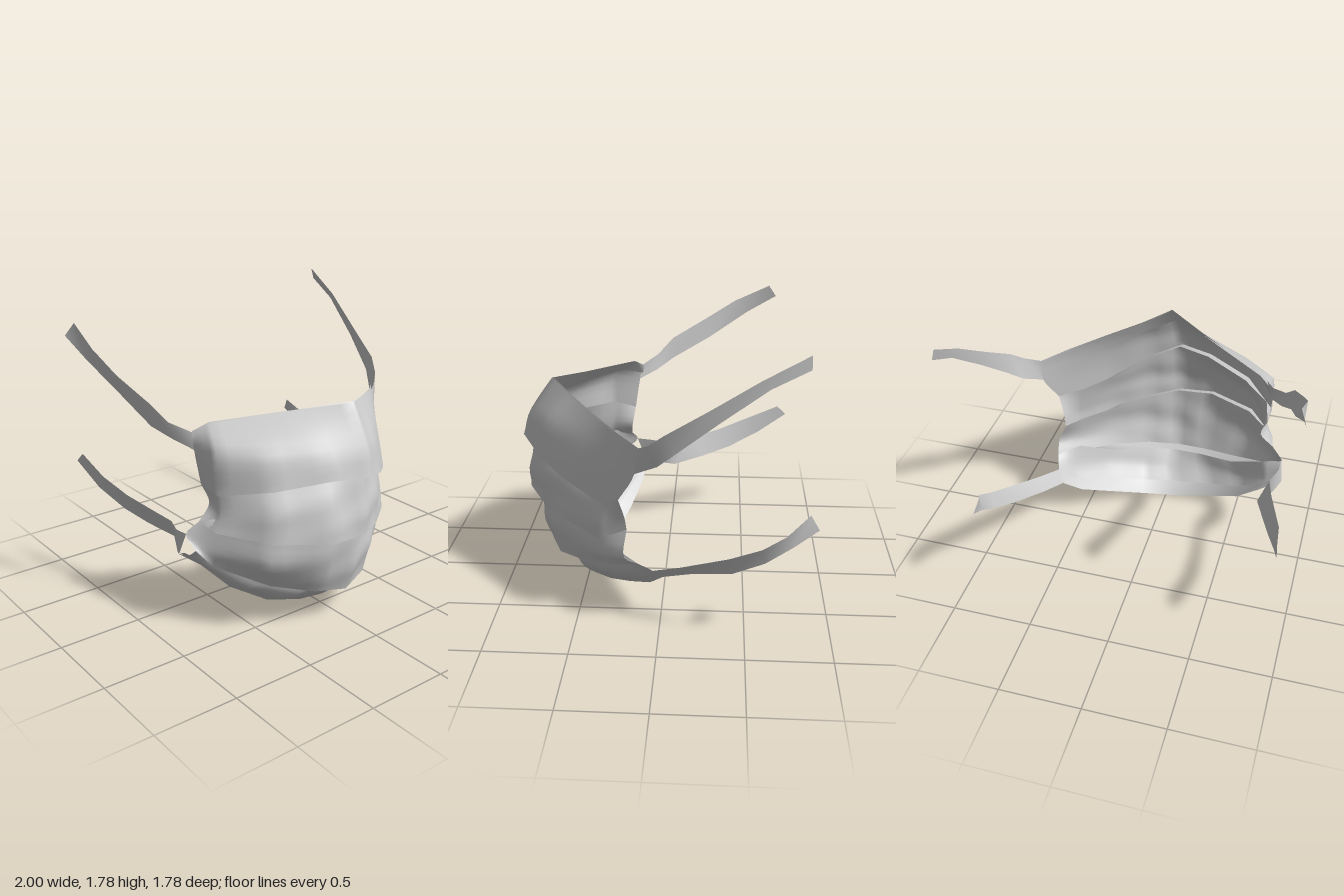
import * as THREE from 'three';

const material = new THREE.MeshStandardMaterial({ color: 0xcccccc, side: THREE.DoubleSide });
const toPoints = (row) => row.map((p) => new THREE.Vector3(...p));

// Point at fraction u along a row of points
function along(points, u) {
  const t = u * (points.length - 1), i = Math.min(Math.floor(t), points.length - 2);
  return points[i].clone().lerp(points[i + 1], t - i);
}

// Surface sampled from point(u, v): u runs across, v runs downwards
function surface(name, nu, nv, point) {
  const positions = [], index = [];
  for (let j = 0; j <= nv; j++)
    for (let i = 0; i <= nu; i++) positions.push(...point(i / nu, j / nv).toArray());
  for (let j = 0; j < nv; j++)
    for (let i = 0; i < nu; i++) {
      const a = j * (nu + 1) + i, b = a + nu + 1;
      index.push(a, b, a + 1, b, b + 1, a + 1);
    }
  const geometry = new THREE.BufferGeometry();
  geometry.setAttribute('position', new THREE.Float32BufferAttribute(positions, 3));
  geometry.setIndex(index);
  geometry.computeVertexNormals();
  const mesh = new THREE.Mesh(geometry, material);
  mesh.name = name;
  return mesh;
}

// Cloth lofted through three rows, with slight rumples that vanish on its borders
function cloth(name, rows, rumple) {
  const lines = rows.map(toPoints);
  return surface(name, 32, 8, (u, v) => {
    const p = new THREE.CatmullRomCurve3(lines.map((l) => along(l, u))).getPoint(v);
    const fade = Math.sin(Math.PI * v) * Math.sin(Math.PI * u);
    p.z += rumple * fade * Math.sin(u * 29 + v * 4) * Math.cos(u * 13 - v * 5);
    return p;
  });
}

// Flat ribbon between an upper and a lower edge
function ribbon(name, upper, lower) {
  const a = toPoints(upper), b = toPoints(lower);
  return surface(name, a.length - 1, 1, (u, v) => along(a, u).lerp(along(b, u), v));
}

// Hidden line of a pleat: the cloth runs up behind its fold before coming down again
const tuck = (fold, back, rise) => fold.map(([x, y, z], i) => {
  const last = fold.length - 1;
  if (i === 0 || i === last) return [x, y, z];
  const seam = i === 1 || i === last - 1;
  return [x * (seam ? 0.95 : 0.98), y + (seam ? 0.07 : rise), z - (seam ? 0.03 : back)];
});

// Doubled strip of cloth just inside a border
function hem(name, edge, next) {
  const inset = (t) => edge.map(([x, y, z], i) => [
    (x + (next[i][0] - x) * t) * 0.985, y + (next[i][1] - y) * t, z + (next[i][2] - z) * t - 0.012]);
  return ribbon(name, inset(0), inset(0.55));
}

export function createModel() {
  const group = new THREE.Group();
  group.name = 'pleatedFaceMask';

  // Rows from the nose edge down to the chin edge, each from right edge to left edge
  const topEdge = [[-0.71, 1.18, 0.2], [-0.63, 1.23, 0.25], [-0.42, 1.26, 0.38], [-0.2, 1.29, 0.52], [0.05, 1.33, 0.69],
    [0.22, 1.28, 0.56], [0.42, 1.24, 0.41], [0.62, 1.2, 0.25], [0.76, 1.17, 0.12]];
  const noseMiddle = [[-0.71, 1.08, 0.22], [-0.685, 1.11, 0.4], [-0.48, 1.1, 0.59], [-0.22, 1.11, 0.73], [0.03, 1.12, 0.83],
    [0.21, 1.09, 0.71], [0.41, 1.04, 0.53], [0.61, 1.0, 0.31], [0.76, 1.02, 0.13]];
  const fold1 = [[-0.69, 0.88, 0.25], [-0.69, 0.86, 0.42], [-0.49, 0.91, 0.66], [-0.2, 0.95, 0.81], [0.02, 0.945, 0.89],
    [0.2, 0.9, 0.78], [0.4, 0.83, 0.6], [0.6, 0.77, 0.36], [0.7, 0.83, 0.23]];
  const upperMiddle = [[-0.65, 0.76, 0.27], [-0.67, 0.74, 0.42], [-0.5, 0.77, 0.69], [-0.2, 0.78, 0.84], [0.02, 0.76, 0.85],
    [0.2, 0.74, 0.75], [0.4, 0.7, 0.58], [0.6, 0.65, 0.36], [0.66, 0.7, 0.2]];
  const fold2 = [[-0.73, 0.67, 0.28], [-0.71, 0.64, 0.42], [-0.52, 0.62, 0.71], [-0.22, 0.6, 0.87], [0.02, 0.59, 0.86],
    [0.2, 0.575, 0.76], [0.4, 0.56, 0.6], [0.6, 0.53, 0.36], [0.65, 0.62, 0.19]];
  const lowerMiddle = [[-0.8, 0.6, 0.25], [-0.7, 0.52, 0.4], [-0.5, 0.45, 0.66], [-0.2, 0.41, 0.78], [0.02, 0.4, 0.78],
    [0.2, 0.4, 0.7], [0.4, 0.42, 0.56], [0.6, 0.44, 0.34], [0.71, 0.47, 0.2]];
  const fold3 = [[-0.79, 0.52, 0.33], [-0.7, 0.41, 0.37], [-0.45, 0.29, 0.58], [-0.2, 0.22, 0.69], [0, 0.19, 0.73],
    [0.2, 0.22, 0.66], [0.4, 0.28, 0.5], [0.6, 0.36, 0.27], [0.69, 0.42, 0.12]];
  const chinMiddle = [[-0.8, 0.48, 0.28], [-0.69, 0.38, 0.29], [-0.5, 0.23, 0.43], [-0.25, 0.13, 0.54], [0, 0.1, 0.56],
    [0.2, 0.11, 0.5], [0.4, 0.2, 0.36], [0.57, 0.29, 0.17], [0.66, 0.36, 0.04]];
  const bottomEdge = [[-0.82, 0.46, 0.2], [-0.68, 0.35, 0.21], [-0.53, 0.19, 0.29], [-0.32, 0.07, 0.38], [-0.08, 0.0, 0.4],
    [0.16, 0.01, 0.35], [0.36, 0.11, 0.2], [0.52, 0.2, 0.07], [0.62, 0.29, 0]];

  // Panels overlapping at the pleats
  const inner1 = tuck(fold1, 0.08, 0.03), inner2 = tuck(fold2, 0.07, 0.03), inner3 = tuck(fold3, 0.08, 0.01);
  group.add(
    cloth('nosePanel', [topEdge, noseMiddle, fold1], 0.006),
    ribbon('upperPleat', fold1, inner1),
    cloth('upperPanel', [inner1, upperMiddle, fold2], 0.015),
    ribbon('middlePleat', fold2, inner2),
    cloth('lowerPanel', [inner2, lowerMiddle, fold3], 0.015),
    ribbon('lowerPleat', fold3, inner3),
    cloth('chinPanel', [inner3, chinMiddle, bottomEdge], 0.006),
    hem('noseHem', topEdge, noseMiddle),
    hem('chinHem', bottomEdge, chinMiddle),
  );

  // Tie straps sweeping back from the four corners
  group.add(
    ribbon('upperLeftStrap',
      [[0.76, 1.17, 0.12], [0.84, 1.22, 0.05], [0.89, 1.3, -0.04], [0.93, 1.46, -0.28], [0.97, 1.64, -0.54], [0.98, 1.78, -0.78]],
      [[0.76, 1.02, 0.13], [0.84, 1.1, 0], [0.9, 1.2, -0.1], [0.95, 1.39, -0.32], [0.99, 1.6, -0.58], [1, 1.71, -0.78]]),
    ribbon('upperRightStrap',
      [[-0.71, 1.18, 0.2], [-0.8, 1.23, 0.1], [-0.86, 1.33, 0], [-0.93, 1.45, -0.22], [-0.97, 1.57, -0.42], [-0.96, 1.68, -0.65]],
      [[-0.71, 1.08, 0.22], [-0.78, 1.13, 0.1], [-0.85, 1.19, 0], [-0.9, 1.33, -0.25], [-0.97, 1.49, -0.5], [-1, 1.6, -0.7]]),
    ribbon('lowerLeftStrap',
      [[0.66, 0.36, 0.04], [0.72, 0.42, -0.12], [0.82, 0.54, -0.4], [0.87, 0.63, -0.58], [0.88, 0.72, -0.71], [0.81, 0.82, -0.84]],
      [[0.61, 0.29, 0], [0.68, 0.36, -0.2], [0.79, 0.43, -0.42], [0.84, 0.53, -0.6], [0.85, 0.64, -0.75], [0.83, 0.74, -0.89]]),
    ribbon('lowerRightStrap',
      [[-0.8, 0.6, 0.25], [-0.8, 0.59, 0.15], [-0.76, 0.59, 0.03], [-0.8, 0.62, -0.14], [-0.85, 0.66, -0.32], [-0.9, 0.73, -0.52], [-0.92, 0.82, -0.74]],
      [[-0.82, 0.46, 0.2], [-0.78, 0.43, 0.12], [-0.7, 0.45, -0.02], [-0.77, 0.49, -0.22], [-0.83, 0.54, -0.4], [-0.89, 0.63, -0.6], [-0.93, 0.76, -0.8]]),
  );
  return group;
}
